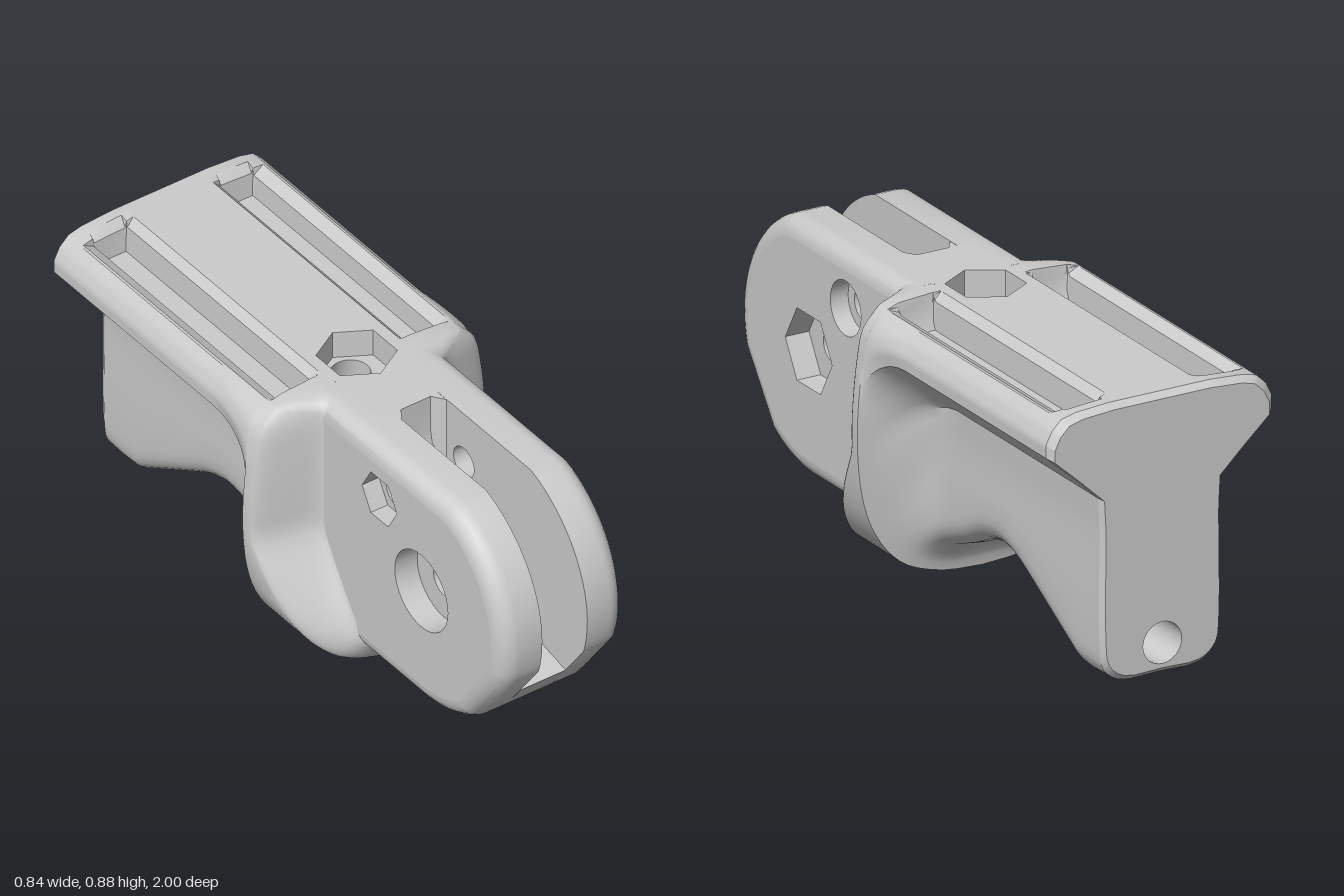
import * as THREE from 'three';
import { toCreasedNormals } from 'three/addons/utils/BufferGeometryUtils.js';

const material = new THREE.MeshStandardMaterial({ color: 0xcccccc, side: THREE.DoubleSide });
const { lerp, clamp, smoothstep, degToRad } = THREE.MathUtils;

// Skin over a list of equal-length rings of [x, y, z] points
function loft(rings, closed = true, crease = 0.6) {
  const n = rings[0].length, index = [];
  for (let i = 0; i < rings.length - 1; i++) {
    for (let j = 0; j < (closed ? n : n - 1); j++) {
      const k = (j + 1) % n, a = i * n + j, b = i * n + k;
      index.push(a, b, b + n, a, b + n, a + n);
    }
  }
  const g = new THREE.BufferGeometry();
  g.setAttribute('position', new THREE.Float32BufferAttribute(rings.flat(2), 3));
  g.setIndex(index);
  g.computeVertexNormals();
  return toCreasedNormals(g, crease);
}

const ngon = (n, r, cx, cy, turn = 0) => Array.from({ length: n }, (_, i) => {
  const a = turn + (i / n) * Math.PI * 2;
  return [cx + r * Math.cos(a), cy + r * Math.sin(a)];
});
const arc = (cx, cy, r, a, b, n) => Array.from({ length: n + 1 }, (_, i) => {
  const t = degToRad(lerp(a, b, i / n));
  return [cx + r * Math.cos(t), cy + r * Math.sin(t)];
});
const at = (pts, z) => pts.map(([x, y]) => [x, y, z]);
const vecs = (pts) => pts.map(([x, y]) => new THREE.Vector2(x, y));

// Flat face with holes
function face(pts, holes, z) {
  const s = new THREE.Shape(vecs(pts));
  holes.forEach((h) => s.holes.push(new THREE.Path(vecs(h))));
  return new THREE.ShapeGeometry(s).translate(0, 0, z);
}

function add(group, name, geometry) {
  const m = new THREE.Mesh(geometry, material);
  m.name = name;
  group.add(m);
  return m;
}

// Move an outline inwards by d
function inset(pts, d) {
  const n = pts.length;
  const normal = (p, q) => new THREE.Vector2(q[1] - p[1], p[0] - q[0]).normalize();
  return pts.map((p, i) => {
    const a = normal(pts[(i + n - 1) % n], p), b = normal(p, pts[(i + 1) % n]);
    const m = a.clone().add(b).divideScalar(1 + a.dot(b));
    return [p[0] - m.x * d, p[1] - m.y * d];
  });
}

// Fork outline in (z, y)
const forkNose = arc(0.6, 0.5, 0.4, -90, -55, 8);
const forkOutline = [[0.06, 0.1], ...forkNose, ...arc(0.6, 0.5, 0.4, -17, 71.8, 20), [0.06, 0.88]];

// One cheek of the fork; s = 1 on the -x side, -1 on the +x side
function cheek(s) {
  const g = new THREE.Group();
  g.name = s > 0 ? 'rightForkCheek' : 'leftForkCheek';
  const flip = (pts) => pts.map(([z, y]) => [s * z, y]);
  const inner = 0.08, outer = 0.22, r = 0.06;
  const holes = [
    { c: [0.6, 0.5], R: 0.13, r: 0.05, n: s > 0 ? 32 : 6, depth: 0.08 },
    { c: [0.395, 0.705], R: 0.085, r: 0.05, n: s > 0 ? 6 : 32, depth: 0.06 },
  ].map((h) => ({
    ...h, big: flip(ngon(h.n, h.R, ...h.c)), small: flip(ngon(32, h.r, ...h.c)),
  }));
  const rings = [at(flip(forkOutline), inner)];
  for (let i = 0; i <= 6; i++) {
    const a = (i / 6) * Math.PI / 2;
    rings.push(at(flip(inset(forkOutline, r * (1 - Math.cos(a)))), outer - r + r * Math.sin(a)));
  }
  add(g, 'cheekRim', loft(rings));
  add(g, 'cheekOuterFace', face(flip(inset(forkOutline, r)), holes.map((h) => h.big), outer));
  add(g, 'cheekInnerFace', face(flip(forkOutline), holes.map((h) => h.small), inner));
  for (const h of holes) {
    const step = outer - h.depth;
    add(g, 'counterbore', loft([at(h.big, outer), at(h.big, step)]));
    add(g, 'counterboreFloor', face(h.big, [h.small], step));
    add(g, 'boltBore', loft([at(h.small, step), at(h.small, inner)]));
  }
  g.rotation.y = -s * Math.PI / 2;
  return g;
}

// Three steps per segment: the first segments straight, the rest on a smooth curve
function resample(pts, straight) {
  const last = pts.length - 1;
  const curve = new THREE.CatmullRomCurve3(pts.map(([x, y]) => new THREE.Vector3(x, y, 0)));
  return Array.from({ length: last * 3 + 1 }, (_, i) => {
    const k = Math.floor(i / 3), f = (i % 3) / 3;
    if (k < straight) return [lerp(pts[k][0], pts[k + 1][0], f), lerp(pts[k][1], pts[k + 1][1], f)];
    const p = curve.getPoint(i / (last * 3));
    return [p.x, p.y];
  });
}

// Half outlines from the top strip down to the bottom centre
const deckHalf = 0.13;
const topX = [deckHalf, 0.14, 0.165, 0.17, 0.28, 0.285, 0.322];
const topY = (x) => 0.88 - 1.2 * Math.max(0, x - 0.2) ** 2;
const grooveY = [0.88, 0.88, 0.855, 0.77, 0.77, 0.84, 0.86];
const deckTop = topX.map((x) => [x, topY(x)]);
const forkTop = [deckHalf, 0.15, 0.17, 0.175, 0.2, 0.201, 0.211].map((x) =>
  [x, 0.819 + Math.sqrt(0.0036 - Math.max(0, x - 0.16) ** 2)]);
const collarSide = resample([[0.33, 0.859], [0.382, 0.8], [0.404, 0.7], [0.415, 0.6], [0.42, 0.51], [0.418, 0.41],
  [0.405, 0.3], [0.375, 0.2], [0.32, 0.11], [0.25, 0.05], [0.13, 0.01], [0, 0]], 0);
const bodySide = (b) => resample([[0.33, 0.859], [0.36, 0.83], [0.38, 0.79], [0.38, 0.75], [0.29, 0.67], [0.205, 0.59],
  [0.2, 0.5], [0.2, 0.4], [0.2, b + 0.13], [0.188, b + 0.045], [0.135, b + 0.003], [0, b]], 6);
const forkSide = resample([[0.216, 0.84], [0.219, 0.8], [0.219, 0.72], [0.219, 0.64], [0.219, 0.54], [0.219, 0.42],
  [0.219, 0.32], [0.219, 0.24], [0.217, 0.17], [0.2, 0.125], [0.13, 0.102], [0, 0.102]], 0);

// Height of the belly along z
const belly = resample([[0, 0.1], [-0.1, 0.125], [-0.2, 0.165], [-0.3, 0.21], [-0.4, 0.225], [-0.5, 0.2],
  [-0.6, 0.148], [-0.8, 0.035], [-0.85, 0.01], [-1, 0.01]], 0);
function bellyY(z) {
  const i = Math.max(1, belly.findIndex((p) => p[0] <= z + 1e-6));
  const [p, q] = [belly[i - 1], belly[i]];
  return lerp(p[1], q[1], (z - p[0]) / (q[0] - p[0]));
}
const mirror = (half) => [...half, ...half.slice(0, -1).reverse().map(([x, y, z]) => [-x, y, z])];
const quarter = (s) => Math.sqrt(1 - (1 - Math.min(1, s)) ** 2);

// The rim eases gently into the wing edge and more tightly at the belly; groove runs 0 to 1
function bodyRing(z, groove) {
  const s = Math.min(1, -z / 0.2), body = bodySide(bellyY(z));
  const side = collarSide.map(([x, y], i) => {
    const t = quarter(s * (1 + smoothstep(i, 15, 30)));
    const tx = lerp(s, t, smoothstep(i, 5, 9));
    return [lerp(x, body[i][0], tx), lerp(y, body[i][1], t)];
  });
  const top = deckTop.map(([x, y], i) => [x, lerp(y, grooveY[i], groove)]);
  return mirror(at([...top, ...side], z));
}

// Cove from collar (u = 0) to fork (u = 1), sweeping forwards near the bottom
function coveRing(u) {
  const collar = [...deckTop, ...collarSide], fork = [...forkTop, ...forkSide];
  const t = smoothstep(u, 0, 1);
  return mirror(collar.map(([x, y], i) => {
    const q = clamp((0.44 - fork[i][1]) / 0.34, 0, 1) ** 1.15;
    return [lerp(x, fork[i][0], t), lerp(y, fork[i][1], t), lerp(0.03 + 0.22 * q, 0.125 + 0.225 * q, u)];
  }));
}

export function createModel() {
  const model = new THREE.Group();
  model.name = 'forkedMount';

  // Fork: cheeks, and the web with the rounded cavity and upper slot
  model.add(cheek(1), cheek(-1));
  const web = [[0.12, 0.1], ...forkNose, [0.894, 0.26], ...arc(0.71, 0.48, 0.24, 216, 150, 12),
    [0.42, 0.605], [0.35, 0.625], [0.3, 0.66], [0.275, 0.71], [0.27, 0.76], [0.27, 0.878], [0.12, 0.878]];
  const webGeo = new THREE.ExtrudeGeometry(new THREE.Shape(vecs(web)), { depth: 0.16, bevelEnabled: false });
  add(model, 'forkWeb', toCreasedNormals(webGeo.translate(0, 0, -0.08).rotateY(-Math.PI / 2), 0.5));
  // Chamfered corners of the upper slot
  for (const s of [-1, 1]) {
    const strip = new THREE.Shape(vecs([[s * 0.08, -0.26], [s * 0.045, -0.26], [s * 0.08, -0.31]]));
    const geo = new THREE.ExtrudeGeometry(strip, { depth: 0.25, bevelEnabled: false });
    add(model, 'slotChamfer', geo.rotateX(-Math.PI / 2).translate(0, 0.629, 0));
  }

  // Collar and body with the two top grooves
  const rings = Array.from({ length: 13 }, (_, i) => coveRing(1 - i / 12));
  rings.push(bodyRing(0, 0));
  for (const z of [-0.004, -0.01, -0.02, -0.035, -0.05, -0.07, -0.1, -0.13, -0.16, -0.2, -0.23, -0.265, -0.3, -0.33,
    -0.365, -0.4, -0.43, -0.465, -0.5, -0.53, -0.565, -0.6, -0.68, -0.76, -0.8, -0.817, -0.833, -0.85, -0.9, -0.915]) {
    rings.push(bodyRing(z, smoothstep(z, -0.022, -0.003) > 0 ? quarter((-z - 0.003) / 0.019) : 1));
  }
  rings.push(bodyRing(-0.92, 0.25), bodyRing(-0.945, 0), bodyRing(-0.98, 0));
  add(model, 'collarAndBody', loft(rings, false));

  // Chamfered rear end with a blind bore
  const rim = bodyRing(-0.98, 0);
  const end = rim.map(([x, y]) => [x * 0.95, 0.44 + (y - 0.44) * 0.96, -1]);
  add(model, 'rearChamfer', loft([rim, end], true, 0.3));
  const bore = ngon(32, 0.065, 0, 0.105);
  add(model, 'rearFace', face(end, [bore], -1));
  add(model, 'rearBore', loft([at(bore, -1), at(bore, -0.83)]));
  add(model, 'rearBoreEnd', face(bore, [], -0.83));

  // Top deck with hexagonal nut pocket and tilted bore
  const top = new THREE.Group();
  top.name = 'topDeck';
  top.rotation.x = -Math.PI / 2;
  model.add(top);
  const hex = ngon(6, 0.118, 0, 0.02, Math.PI / 2);
  const mouth = ngon(32, 0.06, 0, 0.05), exit = ngon(32, 0.05, 0, 0.2);
  const deck = [[-deckHalf, -0.27], [deckHalf, -0.27], [deckHalf, 0.98], [-deckHalf, 0.98]];
  add(top, 'deck', face(deck, [hex], 0.88));
  add(top, 'nutPocket', loft([at(hex, 0.88), at(hex, 0.79)], true, 0.3));
  add(top, 'nutPocketFloor', face(hex, [mouth], 0.79));
  add(top, 'tiltedBore', loft([at(mouth, 0.79), at(exit, 0.18)]));
  const exitRim = add(model, 'boreExitRim', new THREE.TorusGeometry(0.05, 0.012, 10, 32));
  exitRim.position.set(0, 0.168, -0.2);
  exitRim.rotation.x = Math.PI / 2 + 0.4;

  return model;
}
